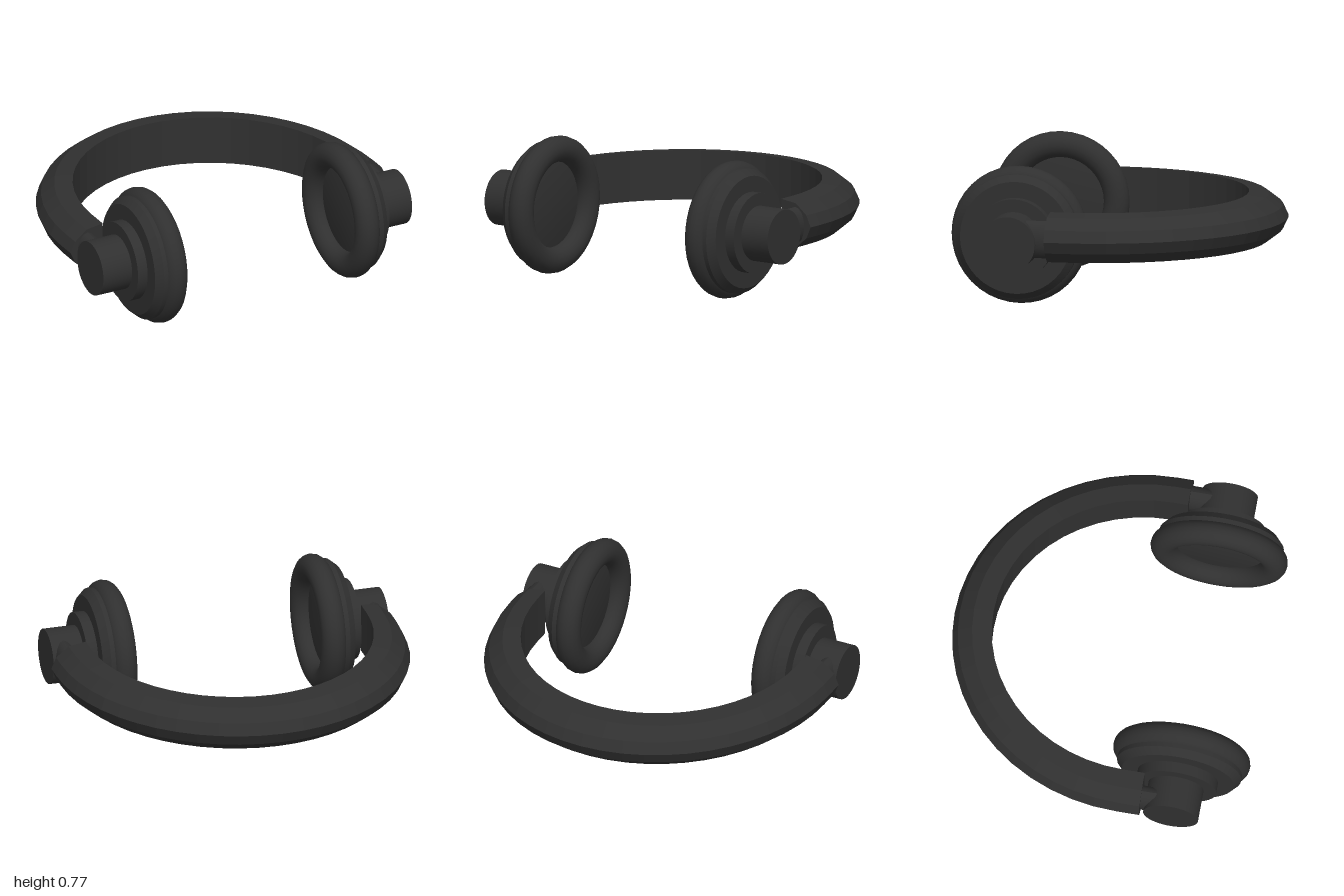
import * as THREE from 'three';
import { toCreasedNormals } from 'three/addons/utils/BufferGeometryUtils.js';

const V = (x, y) => new THREE.Vector2(x, y);

// Headband: a D-shaped section swept along a half ellipse with straight ends
function bandGeometry() {
  // [share of the way from inner to outer edge, height above the middle]
  const section = [[0, -0.14], [0.5, -0.125], [0.86, -0.065], [1, 0], [0.86, 0.065], [0.5, 0.125], [0, 0.14]];
  const n = section.length, steps = 26, midY = 0.415, bendZ = 0.2;
  const pos = [], index = [];
  const addSection = (cos, sin, z) => {
    for (const [u, h] of section) {
      const rx = 0.8 + 0.2 * u, rz = 0.865 + 0.22 * u;
      pos.push(rx * cos, midY + h, z - rz * sin);
    }
  };
  addSection(1, 0, 0.29);
  for (let i = 0; i <= steps; i++) {
    const t = (i / steps) * Math.PI;
    addSection(Math.cos(t), Math.sin(t), bendZ);
  }
  addSection(-1, 0, 0.325);

  const rings = steps + 3;
  for (let i = 0; i < rings - 1; i++) {
    for (let j = 0; j < n; j++) {
      const a = i * n + j, b = i * n + (j + 1) % n, c = a + n, d = b + n;
      index.push(a, c, b, b, c, d);
    }
  }
  const last = (rings - 1) * n;
  for (let k = 1; k < n - 1; k++) {
    index.push(0, k, k + 1, last, last + k + 1, last + k);
  }
  const g = new THREE.BufferGeometry();
  g.setAttribute('position', new THREE.Float32BufferAttribute(pos, 3));
  g.setIndex(index);
  const flat = g.toNonIndexed();
  flat.computeVertexNormals();
  return flat;
}

// Turned part around the x axis; profile points are (radius, x)
function turned(points, segments = 40) {
  const g = new THREE.LatheGeometry(points, segments);
  g.rotateZ(-Math.PI / 2);
  return toCreasedNormals(g, 0.6);
}

export function createModel() {
  const model = new THREE.Group();
  model.name = 'headphones';
  const material = new THREE.MeshStandardMaterial({ color: 0x303030 });
  const bandMaterial = new THREE.MeshStandardMaterial({ color: 0x303030, flatShading: true });

  const add = (parent, name, geometry, mat = material) => {
    const mesh = new THREE.Mesh(geometry, mat);
    mesh.name = name;
    parent.add(mesh);
    return mesh;
  };

  add(model, 'headband', bandGeometry(), bandMaterial);

  // Cushion ring
  const ring = [];
  for (let i = 0; i <= 16; i++) {
    const t = Math.PI - (i / 16) * -2 * Math.PI;
    ring.push(V(0.313 + 0.073 * Math.cos(t), 0.605 + 0.07 * Math.sin(t)));
  }
  const cushion = turned(ring);
  // Closed shell behind the cushion, with the speaker disc on its inner side
  const shell = turned([V(0, 0.62), V(0.3, 0.62), V(0.35, 0.64), V(0.35, 0.69), V(0.315, 0.73), V(0, 0.73)]);
  const step = turned([V(0, 0.72), V(0.226, 0.72), V(0.226, 0.79), V(0, 0.79)]);
  const knob = turned([V(0, 0.78), V(0.155, 0.78), V(0.155, 0.97), V(0, 0.97)]);

  for (const side of [1, -1]) {
    const cup = new THREE.Group();
    cup.name = side > 0 ? 'leftEarCup' : 'rightEarCup';
    cup.position.set(0, 0.392, 0.5);
    cup.rotation.y = side > 0 ? 0 : Math.PI;
    add(cup, 'cushion', cushion);
    add(cup, 'shell', shell);
    add(cup, 'step', step);
    add(cup, 'knob', knob);
    model.add(cup);

    // Short oval pin joining knob and headband
    const pin = new THREE.CylinderGeometry(1, 1, 0.16, 16);
    pin.rotateX(Math.PI / 2);
    pin.scale(0.062, 0.105, 1);
    const hinge = add(model, side > 0 ? 'leftHinge' : 'rightHinge', toCreasedNormals(pin, 0.6));
    hinge.position.set(side * 0.895, 0.415, 0.34);
  }
  return model;
}
